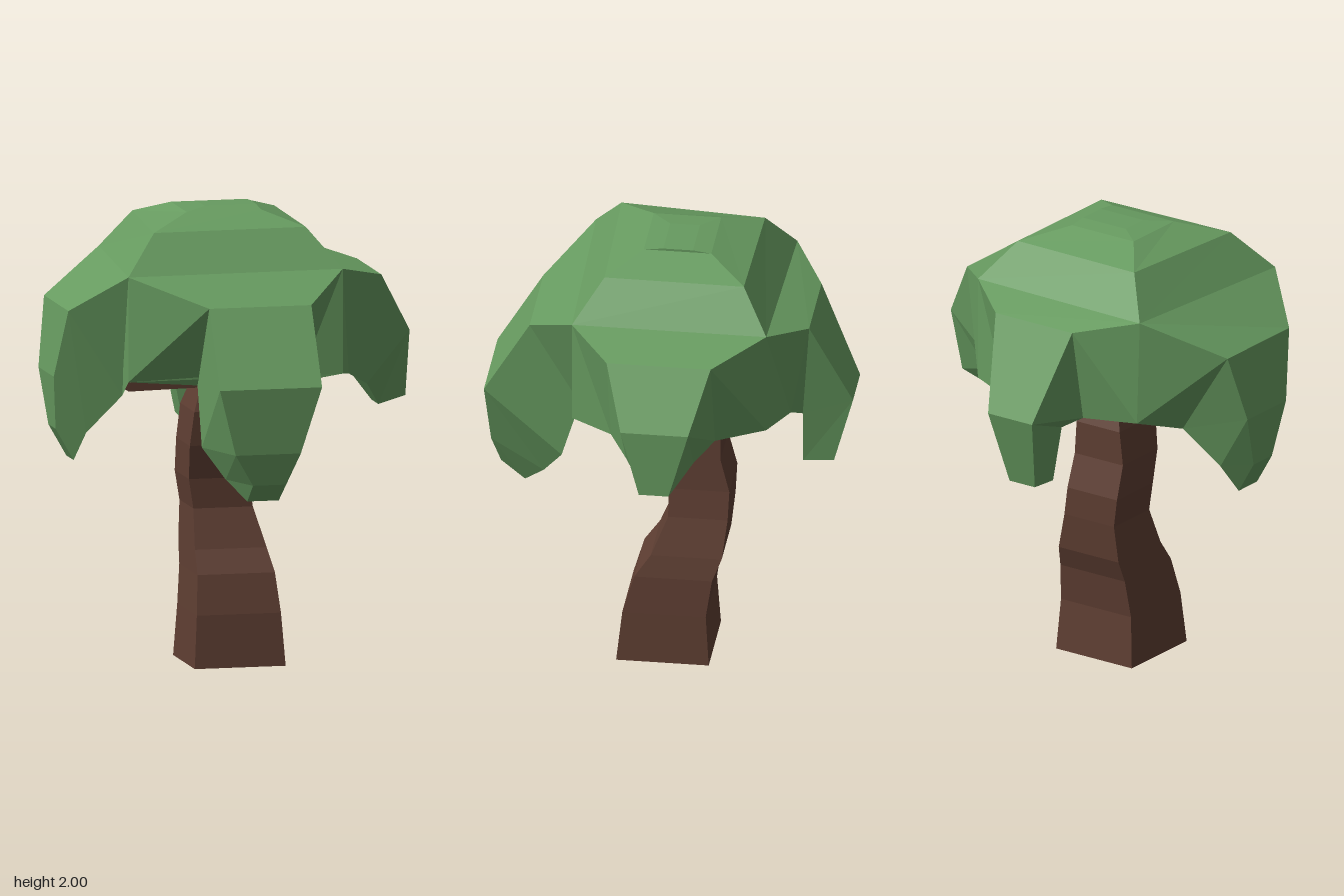
import * as THREE from 'three';

const leafMat = new THREE.MeshStandardMaterial({ color: 0x679b60, flatShading: true, roughness: 1 });
const barkMat = new THREE.MeshStandardMaterial({ color: 0x5e3e32, flatShading: true, roughness: 1 });

// Closed skin over a row of four-cornered sections, turned to face outwards.
function loft(name, sections, material) {
  const tris = [];
  const quad = (a, b, c, d) => tris.push([a, b, c], [a, c, d]);
  for (let i = 0; i + 1 < sections.length; i++) {
    const s = sections[i], t = sections[i + 1];
    for (let k = 0; k < 4; k++) {
      const n = (k + 1) % 4;
      quad(s[k], s[n], t[n], t[k]);
    }
  }
  quad(...[...sections[0]].reverse());
  quad(...sections[sections.length - 1]);

  let volume = 0;
  for (const [a, b, c] of tris) volume += a.clone().cross(b).dot(c);
  if (volume < 0) tris.forEach((t) => t.reverse());

  const geometry = new THREE.BufferGeometry().setFromPoints(tris.flat());
  geometry.computeVertexNormals();
  const mesh = new THREE.Mesh(geometry, material);
  mesh.name = name;
  return mesh;
}

const v = (x, y, z) => new THREE.Vector3(x, y, z);

// Level rectangle: height, x range, z range.
const level = ([y, x0, x1, z0, z1]) => [v(x0, y, z1), v(x1, y, z1), v(x1, y, z0), v(x0, y, z0)];

// Lobe section: outer edge (distance, height), inner edge (distance, height),
// sideways range of the outer edge, then of the inner edge if it differs.
const lobeSection = (place) => ([o, oy, i, iy, a, b, c = a, d = b]) =>
  [place(o, oy, a), place(o, oy, b), place(i, iy, d), place(i, iy, c)];

// Square limb following a few points.
function branch(name, points, size) {
  const dir = points[points.length - 1].clone().sub(points[0]).normalize();
  const side = dir.clone().cross(v(0, 1, 0)).normalize();
  const up = side.clone().cross(dir);
  const sections = points.map((p) => [[-1, -1], [1, -1], [1, 1], [-1, 1]].map(([s, u]) =>
    p.clone().addScaledVector(side, s * size).addScaledVector(up, u * size)));
  return loft(name, sections, barkMat);
}

export function createModel() {
  const tree = new THREE.Group();
  tree.name = 'tree';

  // Bent, four-sided trunk
  const trunk = [
    [0, -0.19, 0.215, -0.18, 0.225],
    [0.23, -0.175, 0.2, -0.165, 0.2],
    [0.4, -0.16, 0.185, -0.19, 0.15],
    [0.5, -0.155, 0.165, -0.23, 0.08],
    [0.67, -0.145, 0.12, -0.25, 0.01],
    [0.8, -0.165, 0.1, -0.255, 0.01],
    [0.95, -0.168, 0.09, -0.215, 0.04],
    [1.1, -0.15, 0.08, -0.215, 0.05],
    [1.3, -0.08, 0.03, -0.14, -0.02],
  ].map(level);
  tree.add(loft('trunk', trunk, barkMat));

  // Branches
  tree.add(
    branch('leftBranch', [v(-0.02, 1.19, -0.08), v(0.42, 1.25, -0.06), v(0.52, 1.31, -0.06)], 0.037),
    branch('rightBranch', [v(-0.02, 1.23, -0.08), v(-0.42, 1.225, -0.06), v(-0.5, 1.31, -0.06)], 0.037),
    branch('frontBranch', [v(-0.03, 1.27, -0.08), v(0, 1.16, 0.4)], 0.037),
    branch('backBranch', [v(-0.03, 1.18, -0.1), v(-0.02, 1.31, -0.56)], 0.037),
  );

  // Crown, corners in the order front right, front left, back left, back right
  const skirt = (y, back) => [v(-0.53, y, 0.41), v(0.43, y, 0.39), v(0.43, y, -0.46), v(-0.45, y, back)];
  const low = skirt(1.3, -0.5), high = skirt(1.76, -0.48);
  low[3].x = high[3].x = -0.45;
  const crown = [
    low,
    high,
    [v(-0.385, 1.93, 0.28), v(0.295, 1.93, 0.265), v(0.3, 1.93, -0.345), v(-0.33, 1.93, -0.355)],
    level([1.99, -0.2, 0.13, -0.18, 0.115]),
    level([2.0, -0.1, 0.13, -0.1, 0.03]),
  ];
  tree.add(loft('crown', crown, leafMat));

  // Drooping lobes, one growing from each side of the crown.
  // from: crown corners at the low and high end of the sideways range.
  const lobes = [
    { name: 'frontLobe', from: [0, 1], place: (d, y, s) => v(s, y, d), rows: [
      [0.6, 1.64, 0.38, 1.27, -0.215, 0.24],
      [0.8, 1.31, 0.46, 1.01, -0.215, 0.24],
      [0.78, 1.02, 0.55, 0.88, -0.14, 0.15, -0.13, 0.15],
      [0.745, 0.88, 0.64, 0.795, -0.055, 0.085]] },
    { name: 'backLobe', from: [3, 2], place: (d, y, s) => v(s, y, -d), rows: [
      [0.62, 1.7, 0.54, 1.28, -0.19, 0.22],
      [0.8, 1.31, 0.58, 1.23, -0.105, 0.13],
      [0.71, 0.98, 0.575, 0.97, -0.055, 0.08]] },
    { name: 'leftLobe', from: [2, 1], place: (d, y, s) => v(d, y, s), rows: [
      [0.645, 1.7, 0.5, 1.27, -0.245, 0.21],
      [0.79, 1.44, 0.6, 1.21, -0.165, 0.13],
      [0.79, 1.14, 0.67, 1.105, -0.08, 0.05]] },
    { name: 'rightLobe', from: [3, 0], place: (d, y, s) => v(-d, y, s), rows: [
      [0.75, 1.59, 0.51, 1.21, -0.245, 0.21],
      [0.795, 1.29, 0.65, 1.04, -0.16, 0.125],
      [0.77, 1.05, 0.69, 0.91, -0.08, 0.055]] },
  ];
  for (const { name, from: [a, b], place, rows } of lobes) {
    const root = [high[a], high[b], low[b], low[a]];
    tree.add(loft(name, [root, ...rows.map(lobeSection(place))], leafMat));
  }

  return tree;
}
